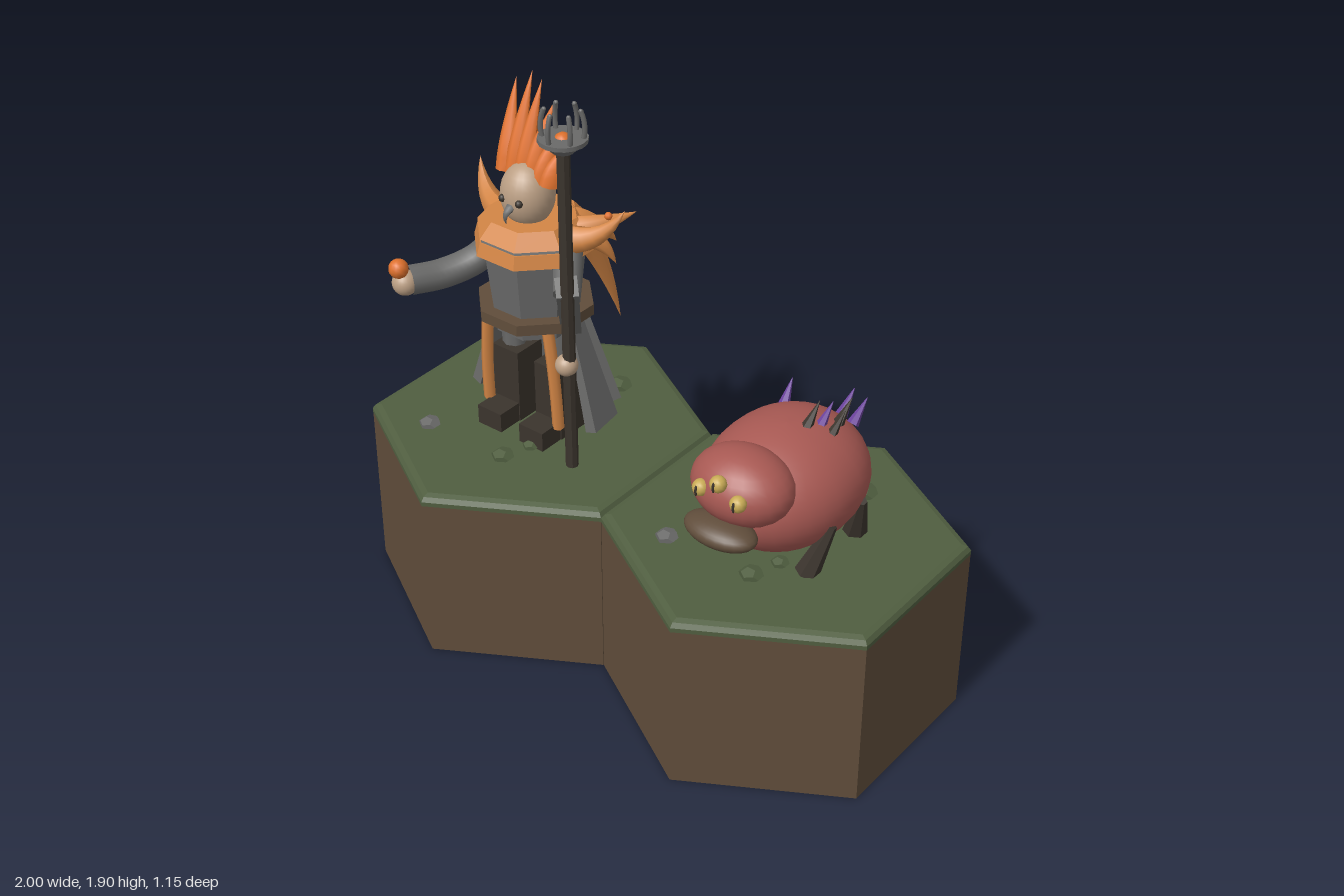
import * as THREE from 'three';

const mat = (name, color) => {
  const m = new THREE.MeshStandardMaterial({ color });
  m.name = name;
  return m;
};
const V = (p) => new THREE.Vector3(...p);

// Facet a geometry while sharing one material per colour
function flat(geo) {
  const g = geo.index ? geo.toNonIndexed() : geo;
  g.computeVertexNormals();
  return g;
}

// Straight tapered limb between two points
function limb(a, b, ra, rb, sides) {
  const d = V(b).sub(V(a));
  const g = new THREE.CylinderGeometry(rb, ra, d.length(), sides);
  g.applyQuaternion(new THREE.Quaternion().setFromUnitVectors(new THREE.Vector3(0, 1, 0), d.clone().normalize()));
  const c = V(a).add(V(b)).multiplyScalar(0.5);
  return g.translate(c.x, c.y, c.z);
}

// Curved spike: a tube whose rings shrink to a point
function spike(a, b, c, r, sides = 8) {
  const n = 8;
  const curve = new THREE.QuadraticBezierCurve3(V(a), V(b), V(c));
  const g = new THREE.TubeGeometry(curve, n, r, sides);
  const p = g.attributes.position, v = new THREE.Vector3();
  for (let i = 0; i < p.count; i++) {
    const t = Math.floor(i / (sides + 1)) / n;
    v.fromBufferAttribute(p, i).lerp(curve.getPointAt(t), Math.pow(t, 1.3));
    p.setXYZ(i, v.x, v.y, v.z);
  }
  g.computeVertexNormals();
  return g;
}

const ball = (rx, ry = rx, rz = rx, w = 24, h = 16) => new THREE.SphereGeometry(1, w, h).scale(rx, ry, rz);
const octagon = (top, bottom, h) => flat(new THREE.CylinderGeometry(top, bottom, h, 8).rotateY(Math.PI / 8));

export function createModel() {
  const soil = mat('soil brown', 0x604d3b), grass = mat('grass green', 0x505e40);
  const grey = mat('cloth grey', 0x6a6a69), hairOrange = mat('hair orange', 0xdd702c);
  const mantleOrange = mat('mantle orange', 0xd28545), skin = mat('skin', 0xbb9f84);
  const dark = mat('dark leather', 0x3b342d), pink = mat('beast pink', 0xa85953);
  const yellow = mat('eye yellow', 0xc9ab55), purple = mat('spike purple', 0x6b429c);

  const model = new THREE.Group();
  const add = (parent, name, geo, material, pos = [0, 0, 0]) => {
    const m = new THREE.Mesh(geo, material);
    m.name = name;
    m.position.set(...pos);
    parent.add(m);
    return m;
  };
  const group = (name, x) => {
    const g = new THREE.Group();
    g.name = name;
    g.position.x = x;
    model.add(g);
    return g;
  };

  // Hexagonal ground tiles with bevelled grass and pebbles
  for (const x of [-0.5, 0.5]) {
    const tile = group('groundTile', x);
    add(tile, 'soilBlock', flat(new THREE.CylinderGeometry(0.576, 0.576, 0.595, 6)), soil, [0, 0.2975, 0]);
    const rim = [[0.577, 0.59], [0.577, 0.605], [0.566, 0.62], [0.545, 0.626], [0, 0.626]];
    add(tile, 'grassCap', flat(new THREE.LatheGeometry(rim.map((p) => new THREE.Vector2(...p)), 6)), grass);
    for (const [px, pz, r, m] of [[0, -0.28, 0.035, grey], [0.09, -0.31, 0.045, grass],
      [-0.26, 0.26, 0.038, grey], [0.055, 0.25, 0.04, grass], [0.09, 0.15, 0.03, grass]]) {
      add(tile, 'pebble', new THREE.DodecahedronGeometry(r, 0).scale(1, 0.5, 1), m, [px, 0.632, pz]);
    }
  }

  // ---------- Standing figure ----------
  const man = group('figure', -0.5);
  add(man, 'torso', octagon(0.178, 0.14, 0.34), grey, [0, 1.18, 0]);
  add(man, 'belt', octagon(0.195, 0.195, 0.038), soil, [0, 1.078, 0]);
  add(man, 'collarLower', octagon(0.187, 0.2, 0.045), mantleOrange, [0, 1.322, 0]);
  add(man, 'collarSeam', octagon(0.175, 0.184, 0.02), grey, [0, 1.35, 0]);
  add(man, 'collarUpper', octagon(0.145, 0.187, 0.05), mantleOrange, [0, 1.381, 0]);

  // Legs, boots, coat panels and trims, mirrored
  for (const s of [-1, 1]) {
    add(man, 'upperLeg', limb([s * 0.1, 0.86, 0], [s * 0.1, 1.06, 0], 0.04, 0.045, 8), grey);
    add(man, 'bootShaft', new THREE.BoxGeometry(0.108, 0.265, 0.12), dark, [s * 0.09, 0.758, 0.0]);
    add(man, 'bootToe', new THREE.BoxGeometry(0.1, 0.07, 0.1), dark, [s * 0.09, 0.66, 0.1]);
    for (const a of [1.7, 2.55]) {
      const panel = new THREE.CylinderGeometry(0.045, 0.095, 0.38, 4).rotateY(Math.PI / 4).scale(1, 1, 0.3);
      panel.rotateX(-0.26).translate(0, 0.87, 0.195).rotateY(s * a);
      add(man, 'coatPanel', flat(panel), grey);
    }
    const trim = new THREE.TubeGeometry(new THREE.QuadraticBezierCurve3(
      V([s * 0.125, 1.06, 0.09]), V([s * 0.15, 0.9, 0.09]), V([s * 0.15, 0.69, 0.08])), 10, 0.02, 6);
    add(man, 'coatTrim', trim, mantleOrange);
    // Feathered shoulder horns
    for (const [a, b, c, r] of [
      [[0.1, 1.35, 0], [0.24, 1.34, -0.03], [0.3, 1.47, -0.09], 0.055],
      [[0.1, 1.35, -0.05], [0.2, 1.38, -0.1], [0.25, 1.4, -0.21], 0.05],
      [[0.07, 1.36, -0.09], [0.14, 1.35, -0.16], [0.15, 1.25, -0.23], 0.05],
      [[0.12, 1.34, -0.05], [0.2, 1.36, -0.09], [0.23, 1.24, -0.13], 0.045],
    ]) {
      add(man, 'shoulderFeather', spike([s * a[0], a[1], a[2]], [s * b[0], b[1], b[2]], [s * c[0], c[1], c[2]], r), mantleOrange);
    }
  }
  add(man, 'longFeather', spike([0.05, 1.38, -0.08], [0.09, 1.25, -0.21], [0.09, 0.9, -0.32], 0.05), mantleOrange);
  add(man, 'tailFeather', spike([0, 0.62, -0.14], [0, 0.7, -0.13], [0, 0.79, -0.11], 0.035), hairOrange);
  add(man, 'pouch', new THREE.BoxGeometry(0.065, 0.1, 0.08), skin, [-0.185, 1.0, -0.03]);

  // Head with eyes and beak
  add(man, 'head', ball(0.088, 0.108, 0.088), skin, [0, 1.48, 0.02]);
  for (const s of [-1, 1]) add(man, 'eye', ball(0.013, 0.013, 0.013, 10, 8), dark, [s * 0.034, 1.485, 0.1]);
  add(man, 'beak', spike([0, 1.465, 0.095], [0, 1.455, 0.14], [0, 1.415, 0.125], 0.017, 6), grey);

  // Swept-back crest of spikes
  const tips = [[-0.16, 1.78], [-0.085, 1.825], [-0.04, 1.81], [0.02, 1.76], [0.075, 1.69], [0.118, 1.64]];
  tips.forEach(([tx, ty], i) => {
    const bx = -0.088 + i * 0.035;
    add(man, 'crestSpike', spike([bx, 1.535, 0.015], [bx * 1.1, 1.63, 0], [tx, ty, -0.125 + i * 0.008], 0.036), hairOrange);
  });

  // Outstretched right arm holding an ember
  const armPath = new THREE.CatmullRomCurve3(
    [[-0.13, 1.29, 0], [-0.19, 1.2, 0.06], [-0.25, 1.165, 0.16], [-0.3, 1.17, 0.27]].map(V));
  add(man, 'rightArm', new THREE.TubeGeometry(armPath, 16, 0.05, 12), grey);
  add(man, 'rightHand', ball(0.043), skin, [-0.306, 1.165, 0.28]);
  add(man, 'ember', ball(0.033, 0.033, 0.033, 12, 8), hairOrange, [-0.306, 1.227, 0.305]);

  // Left arm reaching for the staff
  add(man, 'leftUpperArm', limb([0.14, 1.3, 0], [0.22, 1.23, 0.1], 0.05, 0.045, 10), grey);
  add(man, 'leftSleeve', flat(limb([0.145, 1.04, 0], [0.245, 1.28, 0.13], 0.045, 0.05, 4)), grey);
  add(man, 'leftHand', ball(0.037), skin, [0.25, 1.005, 0.145]);
  add(man, 'spark', ball(0.013, 0.013, 0.013, 8, 6), hairOrange, [0.3, 1.487, -0.01]);

  // Staff with pronged crown
  add(man, 'staffShaft', flat(limb([0.262, 0.626, 0.145], [0.255, 1.76, 0.14], 0.021, 0.021, 8)), dark);
  add(man, 'staffCup', new THREE.CylinderGeometry(0.075, 0.035, 0.04, 16), grey, [0.255, 1.775, 0.14]);
  add(man, 'staffRim', new THREE.CylinderGeometry(0.077, 0.077, 0.014, 16), grey, [0.255, 1.795, 0.14]);
  add(man, 'staffGem', ball(0.03, 0.03, 0.03, 12, 8), hairOrange, [0.255, 1.785, 0.14]);
  for (let i = 0; i < 6; i++) {
    const a = (i / 6) * Math.PI * 2, sx = Math.sin(a), cz = Math.cos(a);
    const at = (r, y) => V([0.255 + sx * r, y, 0.14 + cz * r]);
    const path = new THREE.QuadraticBezierCurve3(at(0.06, 1.79), at(0.075, 1.84), at(0.055, 1.89));
    add(man, 'staffProng', new THREE.TubeGeometry(path, 6, 0.008, 6), grey);
    add(man, 'staffProngTip', ball(0.008, 0.008, 0.008, 6, 4), grey, [0.255 + sx * 0.055, 1.888, 0.14 + cz * 0.055]);
  }

  // ---------- Round beast ----------
  const beast = group('beast', 0.5);
  const body = new THREE.SphereGeometry(1, 32, 24);
  const p = body.attributes.position;
  for (let i = 0; i < p.count; i++) {
    const z = p.getZ(i);
    if (z < 0) p.setZ(i, -Math.pow(-z, 0.88)); // fuller rump
  }
  body.scale(0.242, 0.2, 0.29);
  body.computeVertexNormals();
  add(beast, 'body', body, pink, [0, 0.832, 0.01]);
  add(beast, 'head', ball(0.168, 0.118, 0.135), pink, [0, 0.928, 0.228]);
  add(beast, 'muzzle', ball(0.125, 0.043, 0.075), soil, [0, 0.82, 0.335]);
  for (const [x, y, z] of [[-0.068, 0.953, 0.345], [0, 0.998, 0.352], [0.068, 0.953, 0.345]]) {
    add(beast, 'eye', ball(0.027, 0.027, 0.027, 12, 8), yellow, [x, y, z]);
    add(beast, 'pupil', ball(0.005, 0.019, 0.005, 8, 6), dark, [x, y, z + 0.024]);
  }
  for (const s of [-1, 1]) for (const f of [-1, 1]) {
    add(beast, 'leg', flat(limb([s * 0.175, 0.62, f * 0.13], [s * 0.225, 0.79, f * 0.08], 0.04, 0.016, 6)), dark);
  }
  add(beast, 'wart', ball(0.014, 0.014, 0.014, 8, 6), yellow, [-0.243, 0.82, -0.17]);

  // Back spikes leaning rearwards
  for (const [x, y, z, m] of [[-0.11, 0.97, -0.13, purple], [0.1, 0.955, -0.2, purple], [0.09, 0.985, -0.13, dark],
    [0.07, 1.0, -0.06, purple], [0.05, 1.015, -0.02, dark], [0.11, 0.985, -0.06, dark], [0.045, 0.955, -0.22, purple]]) {
    add(beast, 'backSpike', flat(limb([x, y, z], [x * 1.1, y + 0.07, z - 0.06], 0.02, 0.001, 6)), m);
  }
  return model;
}
